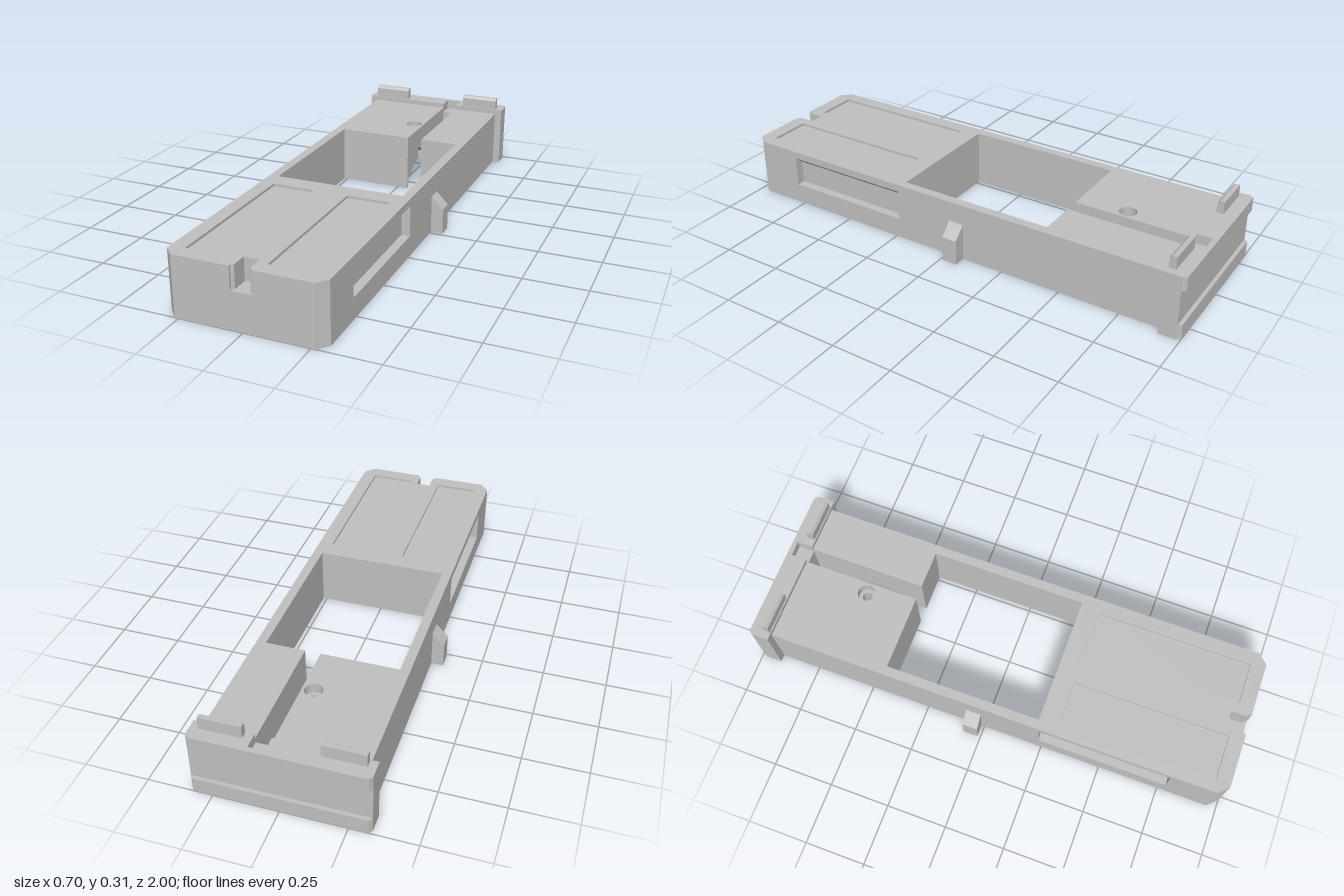
import * as THREE from 'three';

const W = 0.303, H = 0.24;          // body half width and height
const SLOT = [0.045, 0.107];        // slot sides in x
const WIN = [-0.425, 0.22];         // window ends in z
const BACK = -0.92;                 // where the body meets the end plate
const BORE_Z = -0.627;

export function createModel() {
  const model = new THREE.Group();
  const grey = new THREE.MeshStandardMaterial({ color: 0xc0c0c0 });
  grey.name = 'plain grey';

  function add(name, geometry, parent = model) {
    const mesh = new THREE.Mesh(geometry, grey);
    mesh.name = name;
    parent.add(mesh);
    return mesh;
  }
  function group(name) {
    const g = new THREE.Group();
    g.name = name;
    model.add(g);
    return g;
  }
  const shapeOf = (pts, s = -1) => new THREE.Shape(pts.map(([x, z]) => new THREE.Vector2(x, s * z)));

  // Plan outline of [x, z] points raised from y0 to y1
  function slab(name, pts, y0, y1, parent, holes = []) {
    const shape = shapeOf(pts);
    shape.holes.push(...holes);
    const geo = new THREE.ExtrudeGeometry(shape, { depth: y1 - y0, bevelEnabled: false, curveSegments: 16 });
    geo.rotateX(-Math.PI / 2).translate(0, y0, 0);
    return add(name, geo, parent);
  }
  const rect = (x0, x1, z0, z1) => [[x0, z0], [x0, z1], [x1, z1], [x1, z0]];
  const circle = (x, z, r) => new THREE.Path().absarc(x, -z, r, 0, Math.PI * 2, true);
  const mirrored = (half) => [...half, ...half.map(([x, z]) => [-x, z]).reverse()];

  // Side profile of [x, y] points swept along z
  function prism(name, pts, z0, z1, parent) {
    const geo = new THREE.ExtrudeGeometry(shapeOf(pts, 1), { depth: z1 - z0, bevelEnabled: false });
    return add(name, geo.translate(0, 0, z0), parent);
  }

  // Front block, in layers: side pockets, front notch and sunken top panels
  const front = group('frontBlock');
  const pocket = [0.235, 0.775], depth = 0.035;
  function frontOutline(notch, pockets) {
    const half = notch
      ? [[0.03, 0.92], [0.03, 0.985], [0.041, 0.992], [0.041, 1]]
      : [];
    half.push([0.265, 1], [W, 0.96]);
    if (pockets) half.push([W, pocket[1]], [W - depth, pocket[1]], [W - depth, pocket[0]], [W, pocket[0]]);
    half.push([W, WIN[1]]);
    return mirrored(half);
  }
  slab('frontBase', frontOutline(false, false), 0, 0.085, front);
  slab('frontPocketLayer', frontOutline(false, true), 0.085, 0.15, front);
  slab('frontNotchLayer', frontOutline(true, true), 0.15, 0.21, front);
  slab('frontUpperLayer', frontOutline(true, false), 0.21, 0.23, front);
  const panels = [-1, 1].map((s) => new THREE.Path(
    rect(s * 0.07, s * 0.245, 0.3, 0.94).map(([x, z]) => new THREE.Vector2(x, -z))));
  slab('frontTop', frontOutline(true, false), 0.23, H, front, panels);

  // Parts repeated on both sides
  for (const s of [-1, 1]) {
    const side = s > 0 ? 'left' : 'right';
    prism(side + 'PocketSlope', [[s * W, 0.21], [s * (W - depth), 0.21], [s * (W - depth), 0.18]],
      pocket[0], pocket[1], front);
    slab(side + 'Rail', rect(s * 0.265, s * W, WIN[0], WIN[1]), 0, H);
    prism(side + 'Lug', [[s * W, 0], [s * 0.352, 0], [s * 0.352, 0.105], [s * W, 0.155]], -0.075, -0.012);
    // Clip with a bevelled top edge
    const clip = new THREE.ExtrudeGeometry(
      shapeOf([[0.92, 0.255], [0.92, 0.3], [0.93, 0.31], [0.948, 0.31], [0.948, 0.255]], 1),
      { depth: 0.162, bevelEnabled: false });
    clip.rotateY(Math.PI / 2).translate(s > 0 ? 0.14 : -0.302, 0, 0);
    add(side + 'Clip', clip);
  }

  // Rear block: outlines cut by a round recess of radius r, on either side of the slot
  const rear = group('rearBlock');
  const arc = (a0, a1, r) => Array.from({ length: 49 }, (_, i) => {
    const a = a0 + (a1 - a0) * i / 48;
    return [r * Math.cos(a), BORE_Z + r * Math.sin(a)];
  });
  function rightPiece(r) {
    const a = Math.acos(SLOT[0] / r);
    return [[-W, WIN[0]], [SLOT[0], WIN[0]], ...arc(a, Math.PI * 2 - a, r), [SLOT[0], BACK], [-W, BACK]];
  }
  function leftPiece(r) {
    const a = Math.acos(Math.min(1, SLOT[1] / r));
    const cut = arc(-a, a, r).map(([x, z]) => [Math.max(x, SLOT[1]), z]);
    return [[SLOT[1], BACK], ...cut, [SLOT[1], WIN[0]], [W, WIN[0]], [W, BACK]];
  }
  // Recess profile [radius, y]: short wall, cone, step, collar
  const profile = [[0.2, 0], [0.2, 0.04]];
  for (let i = 1; i <= 8; i++) profile.push([0.2 - 0.105 * i / 8, 0.04 + 0.06 * i / 8]);
  profile.push([0.08, 0.1], [0.08, 0.15]);

  function loft(outline) {
    const rows = profile.map(([r, y]) => outline(r).map(([x, z]) => [x, y, z]));
    const pos = [];
    for (let j = 0; j + 1 < rows.length; j++) {
      const n = rows[j].length;
      for (let i = 0; i < n; i++) {
        const k = (i + 1) % n;
        const a = rows[j][i], b = rows[j][k], c = rows[j + 1][k], d = rows[j + 1][i];
        pos.push(...a, ...b, ...c, ...a, ...c, ...d);
      }
    }
    const geo = new THREE.BufferGeometry();
    geo.setAttribute('position', new THREE.Float32BufferAttribute(pos, 3));
    geo.computeVertexNormals();
    return geo;
  }
  for (const [side, outline] of [['right', rightPiece], ['left', leftPiece]]) {
    add(side + 'RearWalls', loft(outline), rear);
    add(side + 'RearUnderside', new THREE.ShapeGeometry(shapeOf(outline(0.2), 1)).rotateX(Math.PI / 2), rear);
  }
  slab('leftRearTop', rect(SLOT[1], W, BACK, WIN[0]), 0.15, H, rear);
  const rightTop = rect(-W, SLOT[0], BACK, WIN[0]);
  slab('boreLayer', rightTop, 0.15, 0.2, rear, [circle(0, BORE_Z, 0.02)]);
  slab('rightRearTop', rightTop, 0.2, H, rear, [circle(0, BORE_Z, 0.035)]);

  // End plate with a groove across its back and a slot notch in its top
  const plate = group('endPlate');
  const P = 0.333, z0 = -0.915, zg = -0.985;
  const flange = mirrored([[P, z0], [P, zg], [0.322, -1]]);
  slab('lowerFlange', flange, 0, 0.062, plate);
  slab('grooveWall', rect(-P, P, zg, z0), 0.062, 0.203, plate);
  slab('upperFlange', flange, 0.203, 0.22, plate);
  slab('notchedTop', [[-P, z0], [-P, zg], [-0.322, -1], [0.322, -1], [P, zg], [P, z0],
    [SLOT[1], z0], [SLOT[1], -0.98], [SLOT[0], -0.98], [SLOT[0], z0]], 0.22, 0.26, plate);

  return model;
}
